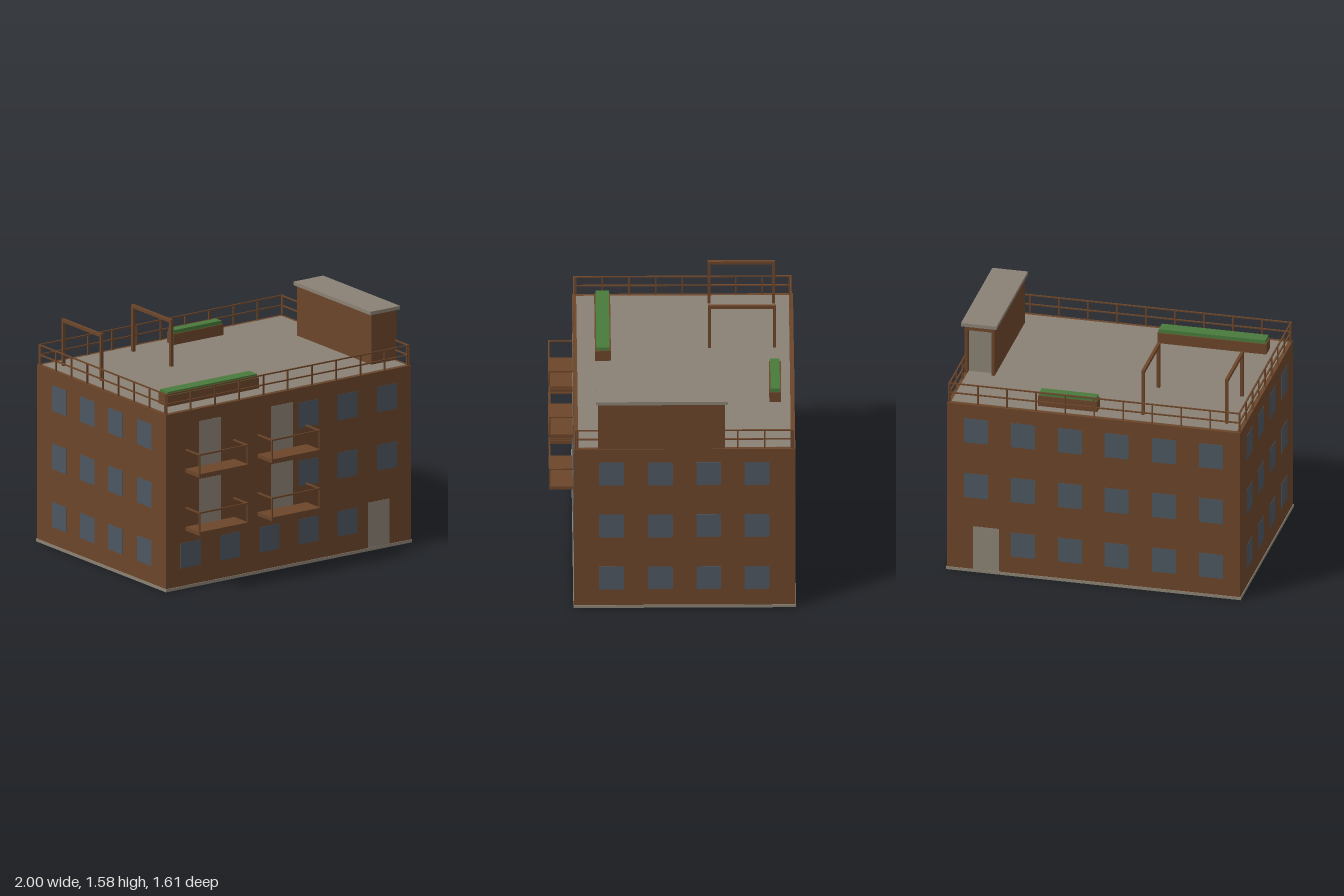
import * as THREE from 'three';

const mat = (name, color, side = THREE.FrontSide) => {
  const m = new THREE.MeshStandardMaterial({ color, side });
  m.name = name;
  return m;
};

export function createModel() {
  const brown = mat('brick brown', 0x6b4529);
  const grey = mat('concrete grey', 0x8a8174);
  const glass = mat('window blue grey', 0x4c5660);
  const green = mat('plant green', 0x487a3c);

  const model = new THREE.Group();
  model.name = 'apartmentBuilding';

  const group = (name) => {
    const g = new THREE.Group();
    g.name = name;
    model.add(g);
    return g;
  };

  // Box given by its extents on each axis
  const box = (parent, name, m, [x0, x1], [y0, y1], [z0, z1]) => {
    const mesh = new THREE.Mesh(new THREE.BoxGeometry(x1 - x0, y1 - y0, z1 - z0), m);
    mesh.position.set((x0 + x1) / 2, (y0 + y1) / 2, (z0 + z1) / 2);
    mesh.name = name;
    parent.add(mesh);
    return mesh;
  };

  const X0 = -0.995, X1 = 0.985, Z0 = -0.803, Z1 = 0.648, ROOF = 1.21;
  const T = 0.002; // thickness of painted plates

  // Main volume
  box(model, 'baseSlab', grey, [-1, 0.99], [0, 0.02], [-0.808, 0.653]);
  box(model, 'walls', brown, [X0, X1], [0.02, ROOF], [Z0, Z1]);
  box(model, 'roofDeck', grey, [-0.968, 0.962], [ROOF, ROOF + T], [-0.775, 0.62]);

  // Windows and doors
  const openings = group('windowsAndDoors');
  const floors = [[0.14, 0.313], [0.537, 0.712], [0.935, 1.11]];
  const columns = [-0.797, -0.48, -0.161, 0.154, 0.471, 0.79];
  const sideColumns = [0.403, 0.081, -0.235, -0.552];
  const HW = 0.081;
  const faceZ = { front: [Z1, Z1 + T], back: [Z0 - T, Z0] };

  floors.forEach((y, floor) => {
    columns.forEach((x, i) => {
      const span = [x - HW, x + HW];
      if (floor > 0 || i < 5) box(openings, 'backWindow', glass, span, y, faceZ.back);
      if (floor === 0 ? i < 5 : i > 2) box(openings, 'frontWindow', glass, span, y, faceZ.front);
    });
    for (const z of sideColumns) {
      box(openings, 'leftWindow', glass, [X1, X1 + T], y, [z - HW, z + HW]);
      box(openings, 'rightWindow', glass, [X0 - T, X0], y, [z - HW, z + HW]);
    }
  });
  for (const side of ['front', 'back']) {
    box(openings, side + 'Door', grey, [0.635, 0.81], [0.02, 0.33], faceZ[side]);
  }

  // Balconies with their doors and handrails
  const R = 0.01;
  for (const y of [0.395, 0.792]) {
    for (const [x0, x1, d0, d1] of [[-0.84, -0.443, -0.73, -0.555], [-0.255, 0.14, -0.148, 0.03]]) {
      const balcony = group('balcony');
      box(balcony, 'balconyDoor', grey, [d0, d1], [y + 0.02, y + 0.332], faceZ.front);
      box(balcony, 'balconyFloor', brown, [x0, x1], [y, y + 0.025], [Z1, 0.806]);
      box(balcony, 'frontHandrail', brown, [x0, x1], [y + 0.15, y + 0.16], [0.806 - R, 0.806]);
      for (const x of [x0, x1 - R]) {
        box(balcony, 'sideHandrail', brown, [x, x + R], [y + 0.15, y + 0.16], [Z1, 0.806 - R]);
        box(balcony, 'balconyPost', brown, [x, x + R], [y + 0.025, y + 0.15], [0.806 - R, 0.806]);
      }
    }
  }

  // Roof railing: two rails and evenly spaced posts on every edge
  const railing = group('roofRailing');
  const h = 0.005;
  const railHeights = [[1.275, 1.283], [1.342, 1.35]];
  for (const z of [0.637, -0.788]) {
    for (const y of railHeights) box(railing, 'rail', brown, [-0.99, 0.98], y, [z - h, z + h]);
    for (let i = 0; i <= 10; i++) {
      const x = -0.985 + i * 0.196;
      box(railing, 'railPost', brown, [x - h, x + h], [ROOF, 1.345], [z - h, z + h]);
    }
  }
  for (const [x, spans] of [[-0.985, [[-0.788, 0.637]]], [0.972, [[-0.788, -0.34], [0.49, 0.637]]]]) {
    for (const span of spans) {
      for (const y of railHeights) box(railing, 'rail', brown, [x - h, x + h], y, span);
    }
    for (let i = 0; i <= 8; i++) {
      const z = -0.777 + i * 0.175;
      if (x > 0 && z > -0.34 && z < 0.49) continue;
      box(railing, 'railPost', brown, [x - h, x + h], [ROOF, 1.345], [z - h, z + h]);
    }
  }

  // Stair house with a recessed doorway at the back
  const stair = group('stairHouse');
  box(stair, 'stairWalls', brown, [0.777, 0.981], [ROOF, 1.556], [-0.30, 0.49]);
  for (const x of [[0.777, 0.797], [0.961, 0.981]]) {
    box(stair, 'doorJamb', brown, x, [ROOF, 1.556], [-0.342, -0.30]);
  }
  box(stair, 'doorLintel', brown, [0.797, 0.961], [1.525, 1.556], [-0.342, -0.30]);
  box(stair, 'stairDoor', grey, [0.797, 0.961], [ROOF, 1.525], [-0.304, -0.30]);
  box(stair, 'stairRoof', grey, [0.76, 1], [1.556, 1.58], [-0.36, 0.505]);

  // Roof frames: two posts and a beam
  for (const x of [-0.872, -0.308]) {
    const frame = group('roofFrame');
    const span = [x - 0.01, x + 0.01];
    box(frame, 'beam', brown, span, [1.51, 1.532], [-0.685, -0.24]);
    for (const z of [-0.685, -0.26]) box(frame, 'post', brown, span, [ROOF, 1.51], [z, z + 0.02]);
  }

  // Planters
  for (const [x0, x1, z0, z1] of [[-0.877, -0.14, 0.398, 0.502], [-0.007, 0.392, -0.715, -0.637]]) {
    const planter = group('planter');
    box(planter, 'planterBox', brown, [x0, x1], [ROOF, 1.285], [z0, z1]);
    box(planter, 'hedge', green, [x0 + 0.008, x1 - 0.008], [1.285, 1.31], [z0 + 0.008, z1 - 0.008]);
  }

  return model;
}
